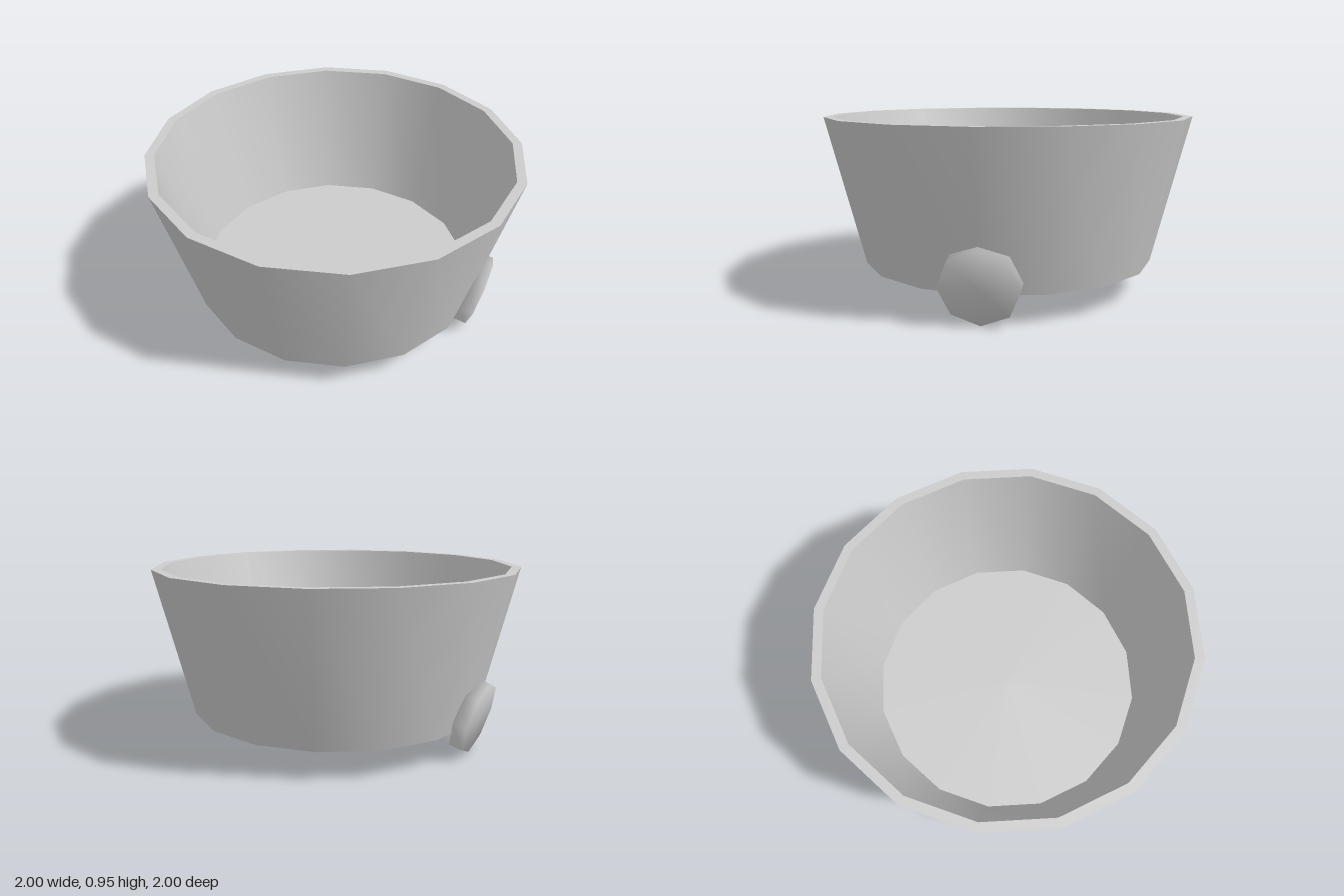
import * as THREE from 'three';
import { toCreasedNormals, mergeVertices } from 'three/addons/utils/BufferGeometryUtils.js';

const material = new THREE.MeshStandardMaterial({ color: 0xcccccc });

// Tapered tub: outer wall, rim, inner wall and floor from one closed profile
function makeTub() {
  const profile = [[0, 0.15], [0.8, 0.15], [1, 0.95], [0.95, 0.95], [0.76, 0.2], [0, 0.2]]
    .map(([r, y]) => new THREE.Vector2(r, y));
  const tub = new THREE.Mesh(toCreasedNormals(new THREE.LatheGeometry(profile, 16), 0.6), material);
  tub.name = 'tub';
  return tub;
}

// Eight-sided disc with welded vertices, so it shades softly over its edges
function makeDiscGeometry() {
  const disc = new THREE.CylinderGeometry(0.2, 0.2, 0.075, 8);
  disc.deleteAttribute('normal');
  disc.deleteAttribute('uv');
  const welded = mergeVertices(disc);
  welded.computeVertexNormals();
  return welded;
}

export function createModel() {
  const model = new THREE.Group();
  model.name = 'footedTub';
  model.add(makeTub());

  // Disc feet leaning with the wall on both sides
  const discGeometry = makeDiscGeometry();
  for (const side of [1, -1]) {
    const foot = new THREE.Mesh(discGeometry, material);
    foot.name = side > 0 ? 'leftFoot' : 'rightFoot';
    foot.position.set(side * 0.817, 0.203, 0);
    foot.rotation.z = -side * THREE.MathUtils.degToRad(105);
    model.add(foot);
  }
  return model;
}
